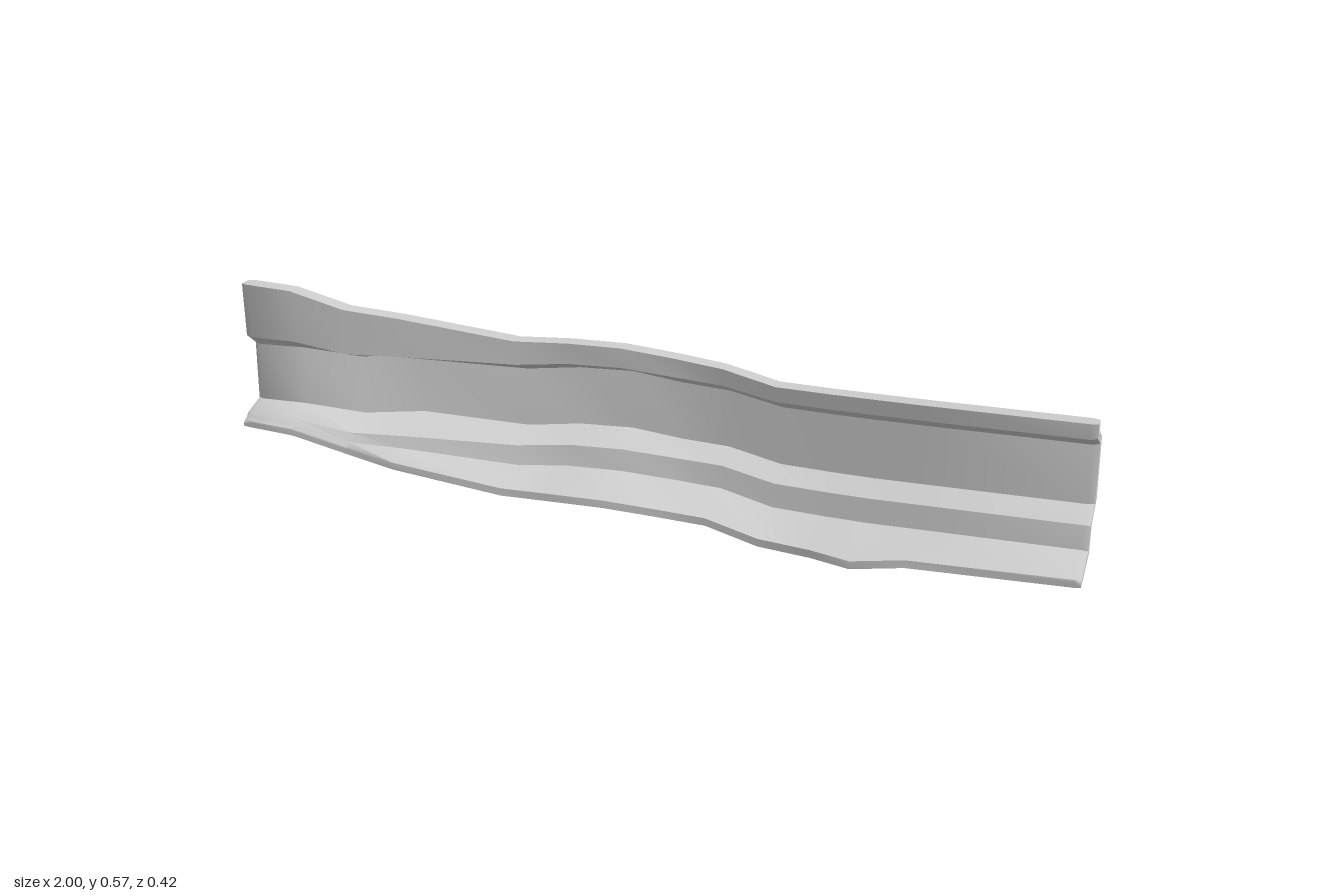
import * as THREE from 'three';
import { toCreasedNormals } from 'three/addons/utils/BufferGeometryUtils.js';

// Stations along the rail: x, top y, bottom y, back z, lip front z, bottom flange z, deformation
const stations = [
  [-0.985, 0.575, 0.225, 0.09, 0.175, 0.21, 1],
  [-0.87, 0.57, 0.215, 0.08, 0.175, 0.205, 0.92],
  [-0.75, 0.525, 0.165, 0.01, 0.14, 0.16, 0.75],
  [-0.62, 0.505, 0.15, -0.055, 0.105, 0.18, 0.6],
  [-0.37, 0.445, 0.088, -0.12, 0.005, 0.11, 0.22],
  [-0.25, 0.44, 0.083, -0.165, -0.035, 0.095, 0.14],
  [-0.12, 0.437, 0.08, -0.183, -0.05, 0.085, 0.12],
  [0, 0.41, 0.055, -0.21, -0.095, 0.04, 0.1],
  [0.12, 0.395, 0.045, -0.214, -0.1, 0.03, 0.05],
  [0.25, 0.365, 0.01, -0.214, -0.1, 0.03, 0],
  [0.38, 0.362, 0.004, -0.214, -0.1, 0.04, 0],
  [0.48, 0.361, 0.001, -0.214, -0.1, 0.065, 0],
  [0.6, 0.36, 0.002, -0.214, -0.1, 0.02, 0],
  [0.985, 0.36, 0.004, -0.214, -0.1, 0.005, 0],
];

// Heights of the bends as fractions of the section, undamaged and crushed
const innerStraight = [1, 0.89, 0.79, 0.38, 0.3, 0.135, 0.055];
const innerCrushed = [1, 0.62, 0.54, 0.14, 0.085, 0.06, 0.045];
const outerStraight = [1, 0.93, 0.83, 0.385, 0.27, 0.075, 0];
const outerCrushed = [1, 0.66, 0.57, 0.13, 0.06, 0.02, 0];

// Closed ring of [z, y]: back wall downwards, then front wall upwards
function section([, top, bottom, back, lip, flange, w]) {
  const mix = (a, b) => a.map((v, i) => bottom + (top - bottom) * THREE.MathUtils.lerp(v, b[i], w));
  const wall = 0.043;
  const low = Math.min(lip + 0.025 * w, flange - 0.01);
  const innerZ = [lip, lip - 0.005, back + wall, back + wall + 0.003, low - 0.008, low, flange];
  const outerZ = [lip - wall, lip - wall, back + 0.004, back, low - wall, low - wall + 0.012,
    Math.max(low - wall + 0.02, flange - 0.035)];
  const inner = mix(innerStraight, innerCrushed).map((y, i) => [innerZ[i], y]);
  const outer = mix(outerStraight, outerCrushed).map((y, i) => [outerZ[i], y]);
  // short front face of the bottom flange
  outer.push([flange, bottom]);
  inner.push([flange, bottom + 0.012]);
  return { outer, inner };
}

// Pull both walls together for the softened end edges
function pinch({ outer, inner }, t) {
  const move = (a, b) => a.map((p, i) => [
    THREE.MathUtils.lerp(p[0], b[i][0], t), THREE.MathUtils.lerp(p[1], b[i][1], t)]);
  return { outer: move(outer, inner), inner: move(inner, outer) };
}

function railGeometry() {
  const rings = stations.map((s) => ({ x: s[0], ...section(s) }));
  const first = rings[0];
  const last = rings[rings.length - 1];
  rings.unshift({ x: -1, ...pinch(first, 0.15) });
  rings.push({ x: 1, ...pinch(last, 0.15) });

  const positions = [];
  const indices = [];
  const half = first.outer.length;
  const count = half * 2;
  for (const r of rings) {
    for (const [z, y] of [...r.outer, ...r.inner.slice().reverse()]) positions.push(r.x, y, z);
  }
  // Walls
  for (let i = 0; i < rings.length - 1; i++) {
    for (let j = 0; j < count; j++) {
      const a = i * count + j;
      const b = i * count + ((j + 1) % count);
      indices.push(a, a + count, b, b, a + count, b + count);
    }
  }
  // End caps, strip by strip between the two walls
  const end = (rings.length - 1) * count;
  for (let k = 0; k < half - 1; k++) {
    const o = k, p = k + 1, m = count - 1 - k, n = count - 2 - k;
    indices.push(o, p, m, m, p, n);
    indices.push(end + o, end + m, end + p, end + m, end + n, end + p);
  }
  const geometry = new THREE.BufferGeometry();
  geometry.setAttribute('position', new THREE.Float32BufferAttribute(positions, 3));
  geometry.setIndex(indices);
  return toCreasedNormals(geometry, THREE.MathUtils.degToRad(50));
}

export function createModel() {
  const group = new THREE.Group();
  group.name = 'bentRail';
  const material = new THREE.MeshStandardMaterial({ color: 0xcccccc, side: THREE.DoubleSide });
  const rail = new THREE.Mesh(railGeometry(), material);
  rail.name = 'railBeam';
  group.add(rail);
  return group;
}
